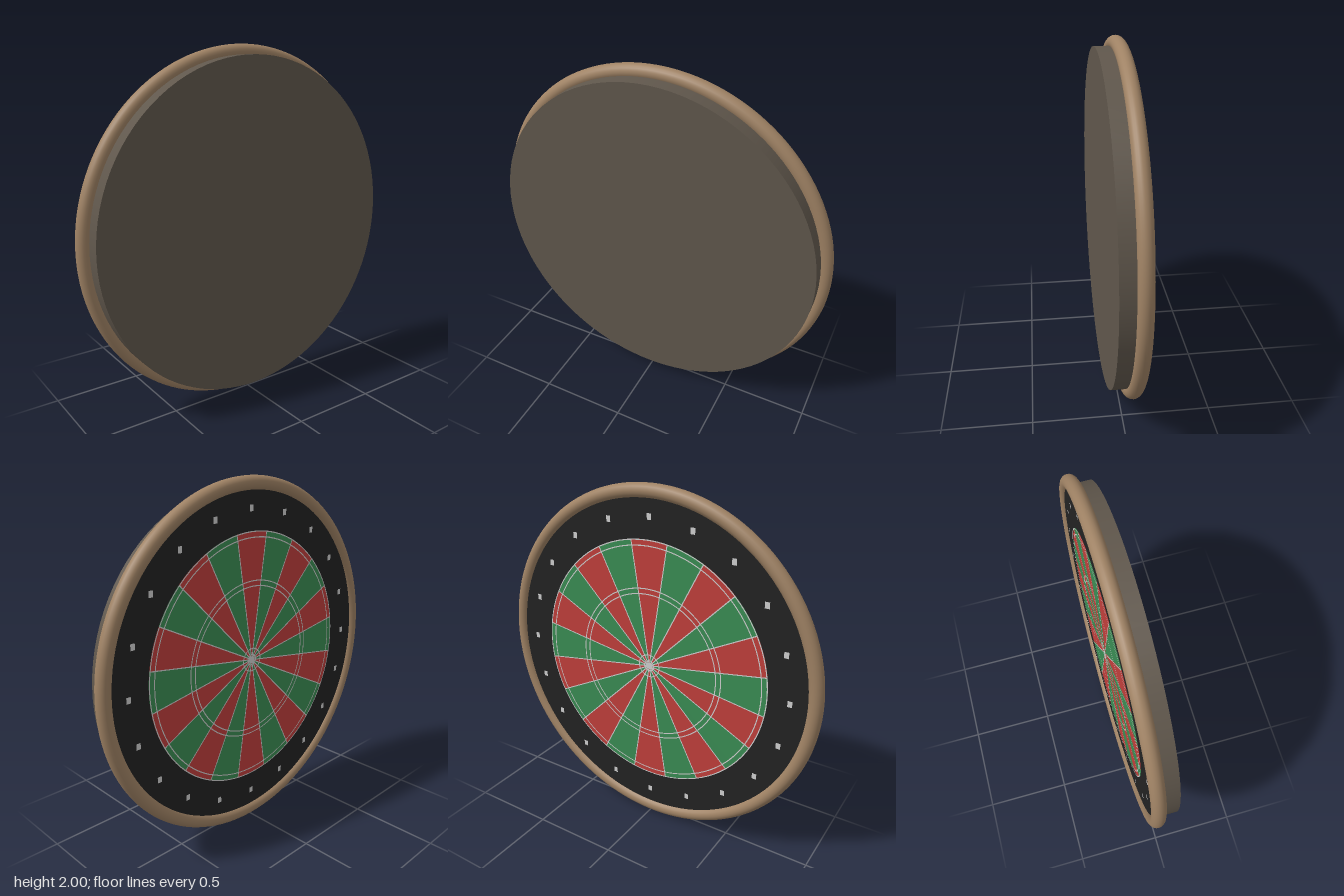
import * as THREE from 'three';

const mat = (name, color) => {
  const m = new THREE.MeshStandardMaterial({ color });
  m.name = name;
  return m;
};

export function createModel() {
  const wood = mat('rim wood', 0x9f8264);
  const backing = mat('backing brown', 0x60574c);
  const black = mat('face black', 0x222222);
  const red = mat('sector red', 0xc03e3b);
  const green = mat('sector green', 0x3a8c53);
  const wire = mat('wire grey', 0xd0d0d0);

  // The board is built facing +z, then turned to face -x
  const board = new THREE.Group();
  board.name = 'board';
  const add = (name, geometry, material, z = 0, parent = board) => {
    const mesh = new THREE.Mesh(geometry, material);
    mesh.name = name;
    mesh.position.z = z;
    parent.add(mesh);
    return mesh;
  };

  // Backing disc with a black front cap
  const faceZ = 0.057, backZ = -0.077;
  const disc = new THREE.CylinderGeometry(0.945, 0.945, faceZ - backZ, 96);
  disc.rotateX(Math.PI / 2);
  add('backingDisc', disc, [backing, black, backing], (faceZ + backZ) / 2);

  // Rounded wooden rim
  add('rim', new THREE.TorusGeometry(0.961, 0.039, 20, 128), wood, 0.039);

  // Twenty alternating sectors, the top one centred on vertical
  const sectors = new THREE.Group();
  sectors.name = 'sectors';
  const wires = new THREE.Group();
  wires.name = 'wires';
  const markers = new THREE.Group();
  markers.name = 'markers';
  board.add(sectors, wires, markers);
  const step = Math.PI / 10, radius = 0.716;
  for (let i = 0; i < 20; i++) {
    const mid = Math.PI / 2 + i * step;
    const start = mid - step / 2;
    add('sector', new THREE.CircleGeometry(radius, 8, start, step), i % 2 ? green : red, faceZ + 0.003, sectors);

    // Wire along the edge of the sector
    const spoke = new THREE.PlaneGeometry(radius, 0.006);
    spoke.translate(radius / 2, 0, 0);
    add('spokeWire', spoke, wire, faceZ + 0.006, wires).rotation.z = start;

    // Small plain marker outside the sector
    const marker = add('marker', new THREE.PlaneGeometry(0.026, 0.034), wire, faceZ + 0.003, markers);
    marker.position.x = 0.835 * Math.cos(mid);
    marker.position.y = 0.835 * Math.sin(mid);
  }

  // Ring wires: centre, inner band and outer band
  for (const r of [0.03, 0.066, 0.42, 0.45, 0.683, 0.714]) {
    add('ringWire', new THREE.RingGeometry(r - 0.003, r + 0.003, 96), wire, faceZ + 0.007, wires);
  }

  board.rotation.y = -Math.PI / 2;
  board.position.y = 1;
  const model = new THREE.Group();
  model.name = 'targetBoard';
  model.add(board);
  return model;
}
